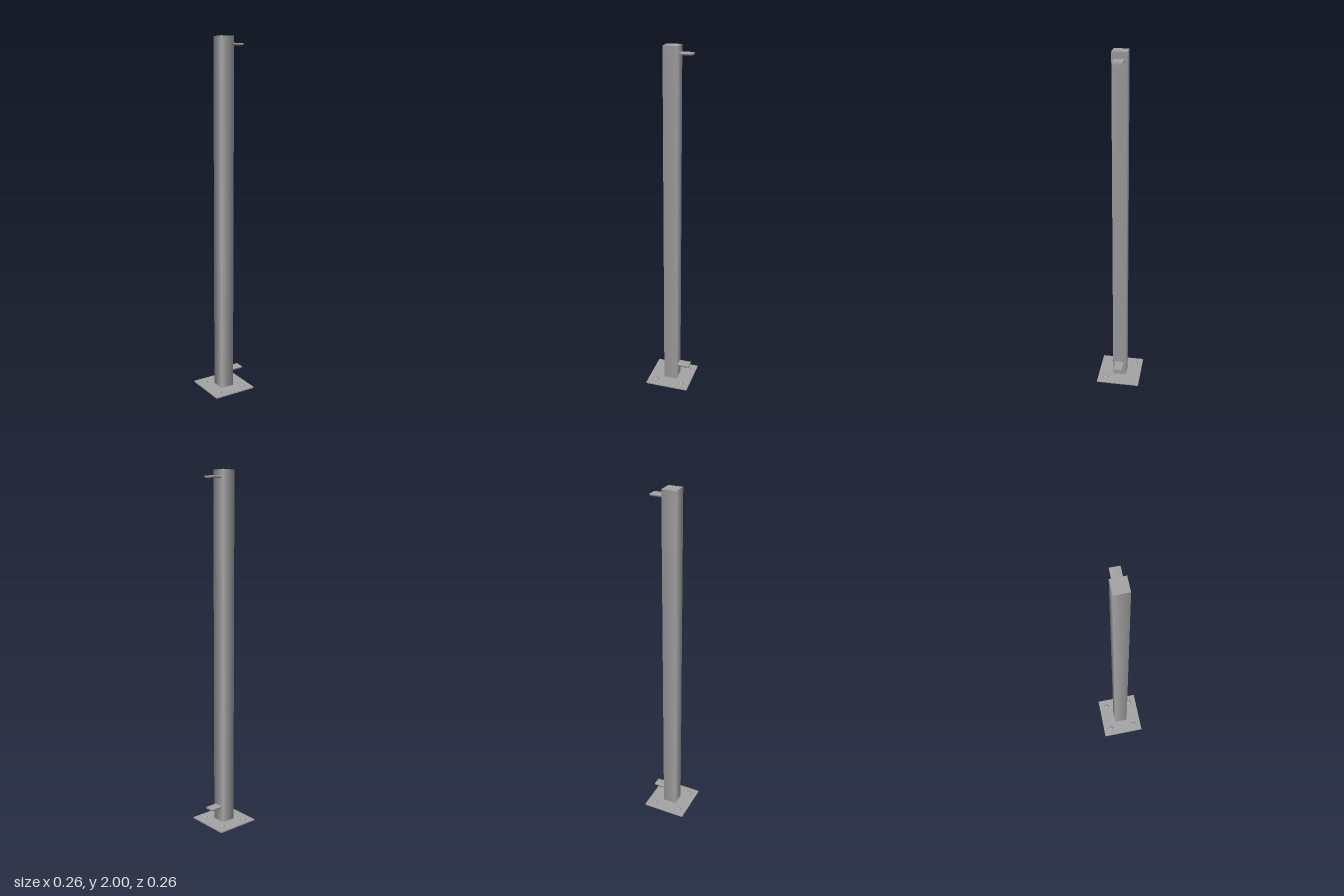
import * as THREE from 'three';

export function createModel() {
  const group = new THREE.Group();
  const material = new THREE.MeshStandardMaterial({ color: 0xa5a5a5 });

  const add = (name, geometry, x, y, z) => {
    const mesh = new THREE.Mesh(geometry, material);
    mesh.name = name;
    mesh.position.set(x, y, z);
    group.add(mesh);
  };

  // Square bar along y: four-sided prism with softly shaded sides and flat caps
  const squareBar = (width, height) =>
    new THREE.CylinderGeometry(width * Math.SQRT1_2, width * Math.SQRT1_2, height, 4).rotateY(Math.PI / 4);

  // Square base plate
  const plateTop = 0.007;
  add('basePlate', new THREE.BoxGeometry(0.256, plateTop, 0.256), 0, plateTop / 2, 0);

  // Post
  const postWidth = 0.08;
  const postHeight = 2 - plateTop;
  add('post', squareBar(postWidth, postHeight), 0, plateTop + postHeight / 2, 0);

  // Hinge tabs on the post's left side: bars laid along x and flattened
  const tabLength = 0.071;
  const tabGeometry = squareBar(0.052, tabLength).rotateZ(-Math.PI / 2).scale(1, 0.2, 1);
  const tabX = (postWidth + tabLength) / 2;
  add('lowerTab', tabGeometry, tabX, 0.097, 0);
  add('upperTab', tabGeometry, tabX, 1.96, 0);

  // Six-sided domed bolt heads at the plate corners
  const boltGeometry = new THREE.SphereGeometry(0.017, 6, 4, 0, Math.PI * 2, 0, Math.PI / 2)
    .rotateY(Math.PI / 6)
    .scale(1, 0.7, 1);
  for (const x of [-0.08, 0.08]) {
    for (const z of [-0.08, 0.08]) add('bolt', boltGeometry, x, plateTop, z);
  }

  return group;
}
